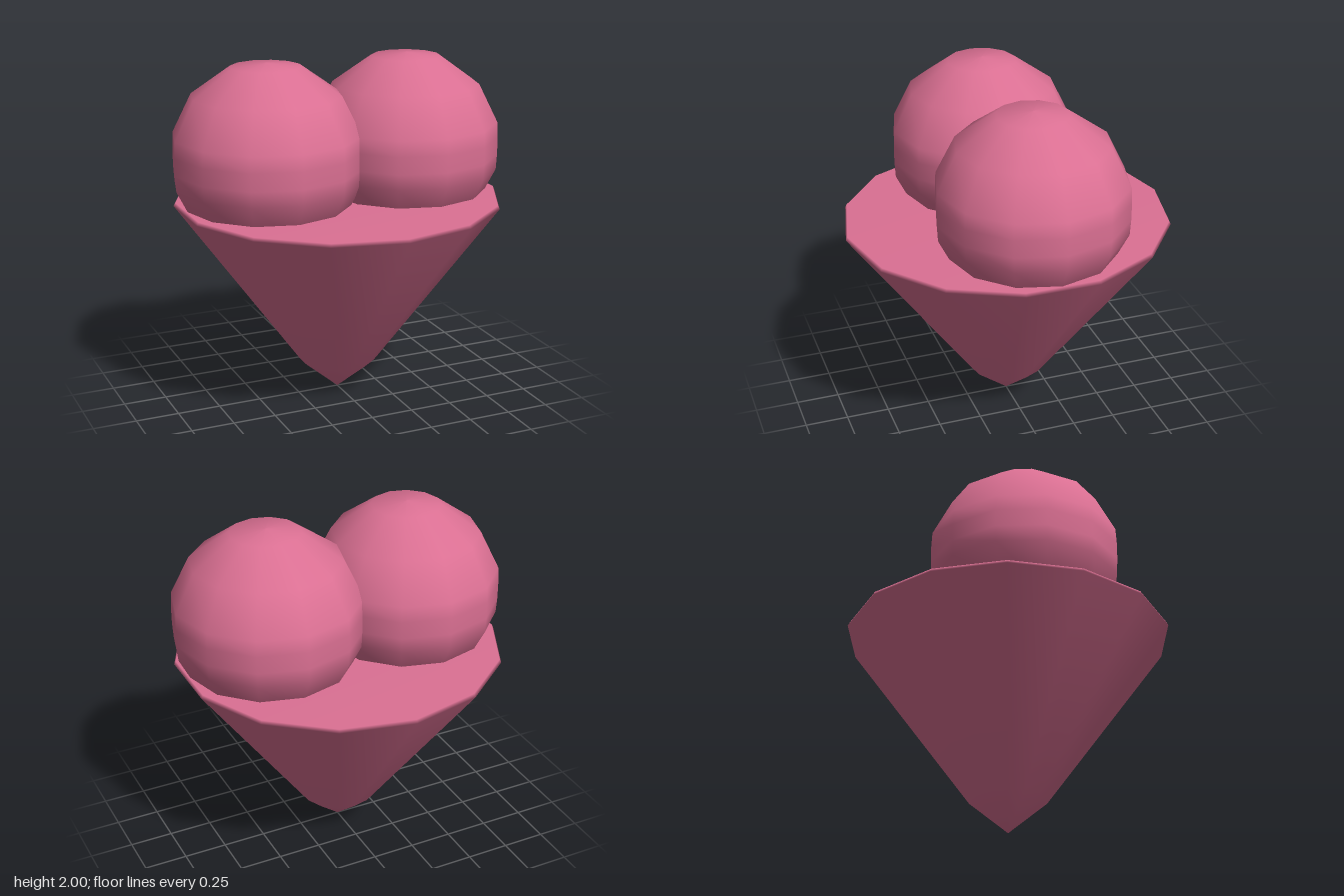
import * as THREE from 'three';

export function createModel() {
  const group = new THREE.Group();
  const rosePink = new THREE.MeshStandardMaterial({ color: 0xdb7093 });
  rosePink.name = 'rosePink';

  // Turned solid from [radius, height] pairs, listed bottom to top
  const turned = (name, profile, sides) => {
    const points = profile.map(([r, y]) => new THREE.Vector2(r, y));
    const mesh = new THREE.Mesh(new THREE.LatheGeometry(points, sides), rosePink);
    mesh.name = name;
    group.add(mesh);
    return mesh;
  };

  // Closed cone with a blunt tip and a fine bevel at the rim
  turned('cone', [[0, 0], [0.225, 0.19], [0.945, 1.18], [0.935, 1.2], [0, 1.2]], 14);

  // Two overlapping scoops, symmetric about their middle height
  const upper = [[0.54, 0.05], [0.535, 0.14], [0.425, 0.36], [0.2, 0.52], [0, 0.54]];
  const lower = upper.map(([r, y]) => [r, -y]).reverse();
  for (const side of [-1, 1]) {
    const scoop = turned(side > 0 ? 'leftScoop' : 'rightScoop', [...lower, ...upper], 12);
    scoop.position.set(side * 0.43, 1.46, 0);
  }
  return group;
}
